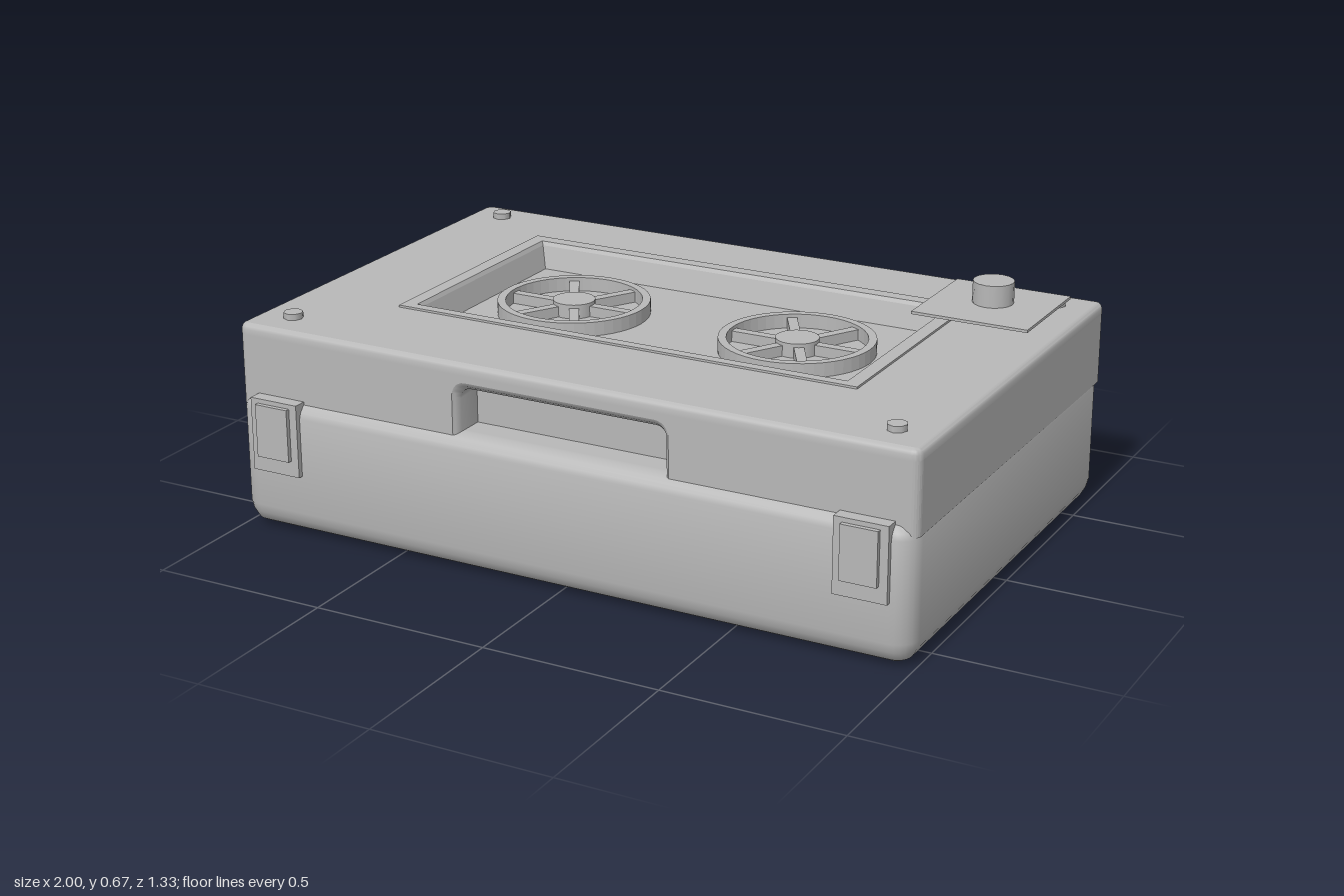
import * as THREE from 'three';
import { toCreasedNormals } from 'three/addons/utils/BufferGeometryUtils.js';

const grey = new THREE.MeshStandardMaterial({ color: 0xb8b8b8, side: THREE.DoubleSide });
grey.name = 'case grey';

// Rounded rectangle in the x-z plane as a list of [x, z]
function roundRect(x0, x1, z0, z1, r, n = 6) {
  const pts = [];
  const corners = [[x1 - r, z1 - r], [x0 + r, z1 - r], [x0 + r, z0 + r], [x1 - r, z0 + r]];
  corners.forEach(([cx, cz], q) => {
    for (let i = 0; i <= n; i++) {
      const a = (q + i / n) * Math.PI / 2;
      pts.push([cx + r * Math.cos(a), cz + r * Math.sin(a)]);
    }
  });
  return pts;
}

// Skin through closed rings of [x, y, z], with optional flat end caps
function loft(rings, capStart = false, capEnd = false, crease = 0.6) {
  const n = rings[0].length, index = [], pos = rings.flat(2);
  for (let k = 0; k < rings.length - 1; k++) {
    for (let i = 0; i < n; i++) {
      const j = (i + 1) % n, a = k * n, b = a + n;
      index.push(a + i, b + i, b + j, a + i, b + j, a + j);
    }
  }
  const last = (rings.length - 1) * n;
  for (let i = 1; i < n - 1; i++) {
    if (capStart) index.push(0, i, i + 1);
    if (capEnd) index.push(last, last + i + 1, last + i);
  }
  const g = new THREE.BufferGeometry();
  g.setAttribute('position', new THREE.Float32BufferAttribute(pos, 3));
  g.setIndex(index);
  return toCreasedNormals(g, crease);
}

// Rounded rectangle ring at height y, shrunk by an inset
const ringAt = (x, z0, z1, r, y, inset) =>
  roundRect(-x + inset, x - inset, z0 + inset, z1 - inset, Math.max(r - inset, 0.004)).map(([a, c]) => [a, y, c]);

const shapeFrom = pts => new THREE.Shape(pts.map(p => new THREE.Vector2(p[0], p[1])));

// Shape drawn in x-z, extruded upward from y0 to y1
function slab(shape, y0, y1, segments = 24) {
  const g = new THREE.ExtrudeGeometry(shape, { depth: y1 - y0, bevelEnabled: false, curveSegments: segments });
  return g.rotateX(Math.PI / 2).translate(0, y1, 0);
}

export function createModel() {
  const model = new THREE.Group();
  const add = (name, geometry, parent = model, x = 0, y = 0, z = 0) => {
    const m = new THREE.Mesh(geometry, grey);
    m.name = name;
    m.position.set(x, y, z);
    parent.add(m);
    return m;
  };
  const box = (name, x0, x1, y0, y1, z0, z1, parent) =>
    add(name, new THREE.BoxGeometry(x1 - x0, y1 - y0, z1 - z0), parent, (x0 + x1) / 2, (y0 + y1) / 2, (z0 + z1) / 2);

  // Lower case with rounded bottom and front lip
  const baseProfile = [[0, 0.07], [0.006, 0.045], [0.02, 0.02], [0.045, 0.006], [0.07, 0],
    [0.345, 0], [0.362, 0.006], [0.378, 0.02], [0.385, 0.045]];
  add('lowerCase', loft(baseProfile.map(([y, inset]) => ringAt(1, -0.665, 0.64, 0.06, y, inset)), true, true));

  // Lid body with an opening for the deck and a notch for the hand grip
  const lidBack = -0.665, lidFront = 0.617, lidR = 0.025, notchX = 0.34, notchBack = 0.517, notchTop = 0.55;
  const opening = [[-0.65, -0.4], [0.65, -0.4], [0.65, 0.27], [-0.65, 0.27]];
  const outline = roundRect(-1, 1, lidBack, lidFront, lidR);
  outline.splice(7, 0, [notchX, lidFront], [notchX, notchBack], [-notchX, notchBack], [-notchX, lidFront]);
  const lidShape = shapeFrom(outline);
  lidShape.holes.push(shapeFrom(opening));
  add('lidBody', slab(lidShape, 0.35, notchTop));

  // Rounded upper rim of the lid and its top face
  const rimProfile = [[notchTop, 0], [0.565, 0], [0.573, 0.003], [0.578, 0.008], [0.58, 0.016]];
  add('lidRim', loft(rimProfile.map(([y, inset]) => ringAt(1, lidBack, lidFront, lidR, y, inset))));
  const topShape = shapeFrom(ringAt(1, lidBack, lidFront, lidR, 0, 0.016).map(p => [p[0], p[2]]));
  topShape.holes.push(shapeFrom(opening));
  add('lidTop', slab(topShape, notchTop, 0.58));

  // Hand grip pocket: front plate with an arched hole and a bevelled liner
  const arch = (halfWidth, top, r) => {
    const pts = [[-halfWidth, 0.35]];
    for (let i = 0; i <= 6; i++) {
      const a = Math.PI - i * Math.PI / 12;
      pts.push([-halfWidth + r + r * Math.cos(a), top - r + r * Math.sin(a)]);
    }
    return pts.concat(pts.slice().reverse().map(([x, y]) => [-x, y]));
  };
  const gripShape = shapeFrom([[-notchX, 0.35], ...arch(0.32, 0.53, 0.04), [notchX, 0.35], [notchX, notchTop], [-notchX, notchTop]]);
  add('gripSurround', new THREE.ShapeGeometry(gripShape), model, 0, 0, lidFront);
  const gripRings = [[0.32, 0.53, 0.04, lidFront], [0.313, 0.52, 0.035, 0.612], [0.305, 0.508, 0.03, 0.595], [0.305, 0.508, 0.03, notchBack]]
    .map(([w, t, r, z]) => arch(w, t, r).map(([x, y]) => [x, y, z]));
  add('gripPocket', loft(gripRings));

  // Raised border around the deck opening
  const border = shapeFrom([[-0.69, -0.44], [0.69, -0.44], [0.69, 0.3], [-0.69, 0.3]]);
  border.holes.push(shapeFrom(opening));
  add('deckBorder', slab(border, 0.579, 0.586));

  // Sunken deck with sloping walls
  const floorY = 0.51;
  const deckRing = (y, inset) => opening.map(([x, z]) => [x - Math.sign(x) * inset, y, z + (z < 0 ? inset : -inset)]);
  add('deckWalls', loft([deckRing(0.586, 0), deckRing(0.575, 0.006), deckRing(floorY, 0.024)], false, false, 0.2));
  box('deckFloor', -0.65, 0.65, floorY - 0.01, floorY, -0.4, 0.27);

  // Two spoked reels
  for (const x of [-0.35, 0.345]) {
    const reel = new THREE.Group();
    reel.name = 'reel';
    reel.position.set(x, floorY, -0.07);
    model.add(reel);
    const rimShape = new THREE.Shape().absarc(0, 0, 0.215, 0, Math.PI * 2);
    rimShape.holes.push(new THREE.Path().absarc(0, 0, 0.192, 0, Math.PI * 2));
    add('reelRim', slab(rimShape, 0, 0.04), reel);
    add('reelHub', new THREE.CylinderGeometry(0.06, 0.06, 0.04, 24), reel, 0, 0.02, 0);
    for (let i = 0; i < 6; i++) {
      const a = i * Math.PI / 3;
      const spoke = add('reelSpoke', new THREE.BoxGeometry(0.15, 0.03, 0.028), reel, 0.125 * Math.cos(a), 0.015, -0.125 * Math.sin(a));
      spoke.rotation.y = a;
    }
  }

  // Control plate with its knob, standing just clear of the lid
  box('controlPlate', 0.595, 0.93, 0.6, 0.608, -0.58, -0.255);
  add('controlKnob', new THREE.CylinderGeometry(0.057, 0.057, 0.064, 16), model, 0.76, 0.638, -0.435);

  // Corner screws and front latches on both sides
  for (const s of [-1, 1]) {
    for (const z of [-0.57, 0.51]) {
      add('cornerScrew', new THREE.CylinderGeometry(0.027, 0.027, 0.02, 8), model, s * 0.893, 0.587, z);
    }
    const latch = new THREE.Group();
    latch.name = s > 0 ? 'leftLatch' : 'rightLatch';
    latch.position.x = s * 0.868;
    model.add(latch);
    box('latchPlate', -0.074, 0.074, 0.18, 0.388, 0.61, 0.655, latch);
    box('latchButton', -0.051, 0.051, 0.225, 0.375, 0.65, 0.668, latch);
  }
  return model;
}
